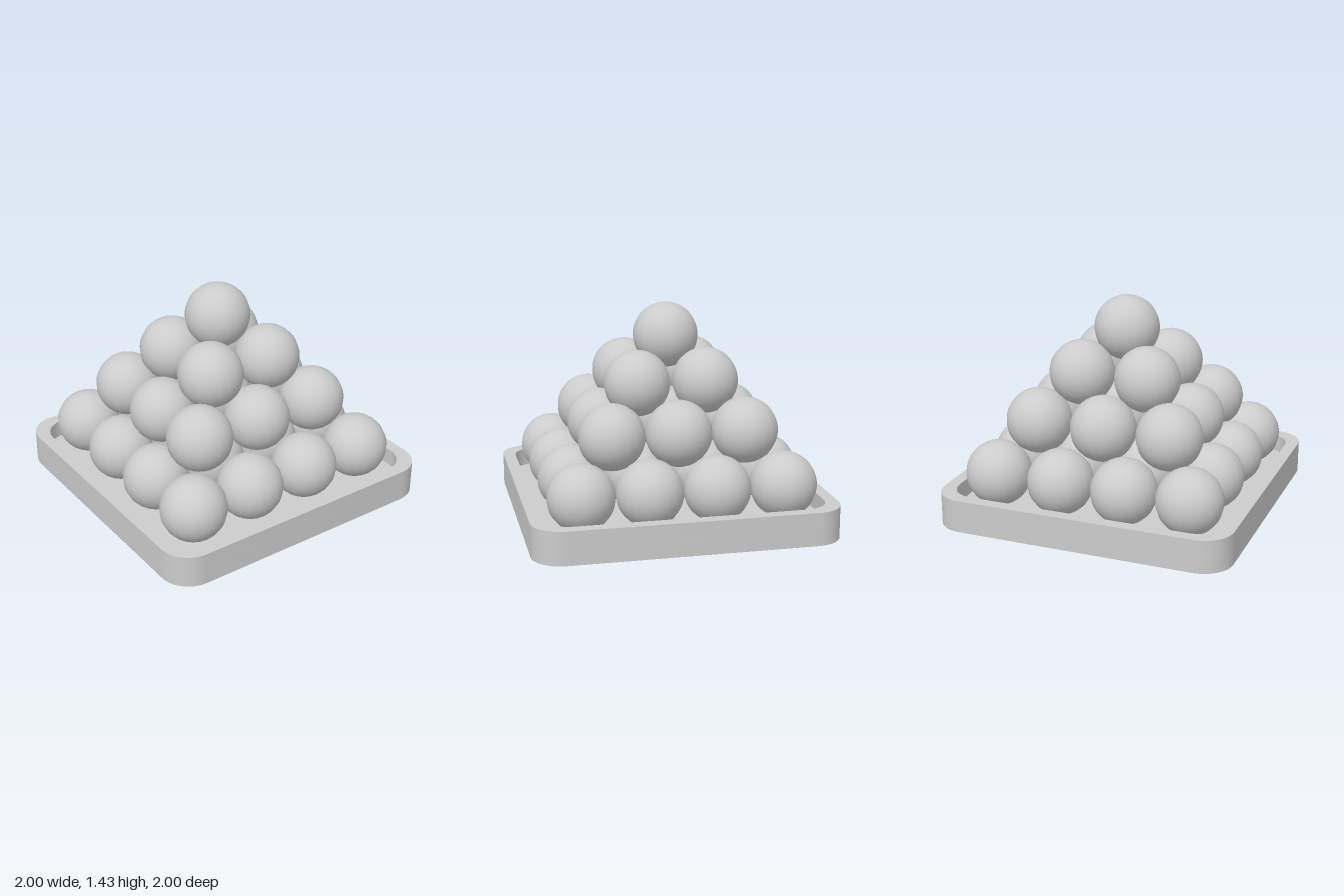
import * as THREE from 'three';
import { toCreasedNormals } from 'three/addons/utils/BufferGeometryUtils.js';

// Rounded square outline, centred on the origin
function roundedSquare(Type, half, r) {
  const p = new Type();
  const c = half - r;
  p.moveTo(-c, -half);
  p.lineTo(c, -half);
  p.absarc(c, -c, r, -Math.PI / 2, 0, false);
  p.absarc(c, c, r, 0, Math.PI / 2, false);
  p.absarc(-c, c, r, Math.PI / 2, Math.PI, false);
  p.absarc(-c, -c, r, Math.PI, Math.PI * 1.5, false);
  p.closePath();
  return p;
}

// Upright slab from a shape, with smooth corners and sharp rims
function slab(shape, depth) {
  const geo = new THREE.ExtrudeGeometry(shape, { depth, bevelEnabled: false, curveSegments: 5 });
  geo.rotateX(-Math.PI / 2);
  return toCreasedNormals(geo, 0.6);
}

export function createModel() {
  const group = new THREE.Group();
  group.name = 'ballPyramid';
  const material = new THREE.MeshStandardMaterial({ color: 0xcccccc });

  // Tray: a floor and a raised rim
  const floorTop = 0.1, trayTop = 0.22;
  const tray = new THREE.Group();
  tray.name = 'tray';
  const base = new THREE.Mesh(slab(roundedSquare(THREE.Shape, 1, 0.2), floorTop), material);
  base.name = 'trayFloor';
  const rimShape = roundedSquare(THREE.Shape, 1, 0.2);
  rimShape.holes.push(roundedSquare(THREE.Path, 0.917, 0.17));
  const rim = new THREE.Mesh(slab(rimShape, trayTop - floorTop), material);
  rim.name = 'trayRim';
  rim.position.y = floorTop;
  tray.add(base, rim);
  group.add(tray);

  // Balls: square layers, each nested on the one below
  const ball = new THREE.SphereGeometry(0.218, 20, 32);
  const layers = [
    { count: 4, step: 0.442, y: 0.317, x: -0.003, z: -0.005 },
    { count: 3, step: 0.456, x: 0, y: 0.642, z: -0.02, stepZ: 0.442 },
    { count: 2, step: 0.46, x: 0.005, y: 0.938, z: -0.02 },
    { count: 1, step: 0, x: 0, y: 1.212, z: -0.033 },
  ];
  layers.forEach(({ count, step, stepZ = step, x, y, z }, n) => {
    const layer = new THREE.Group();
    layer.name = `ballLayer${n + 1}`;
    layer.position.set(x, y, z);
    const mid = (count - 1) / 2;
    for (let i = 0; i < count; i++) {
      for (let j = 0; j < count; j++) {
        const mesh = new THREE.Mesh(ball, material);
        mesh.name = 'ball';
        mesh.position.set((i - mid) * step, 0, (j - mid) * stepZ);
        layer.add(mesh);
      }
    }
    group.add(layer);
  });

  return group;
}
